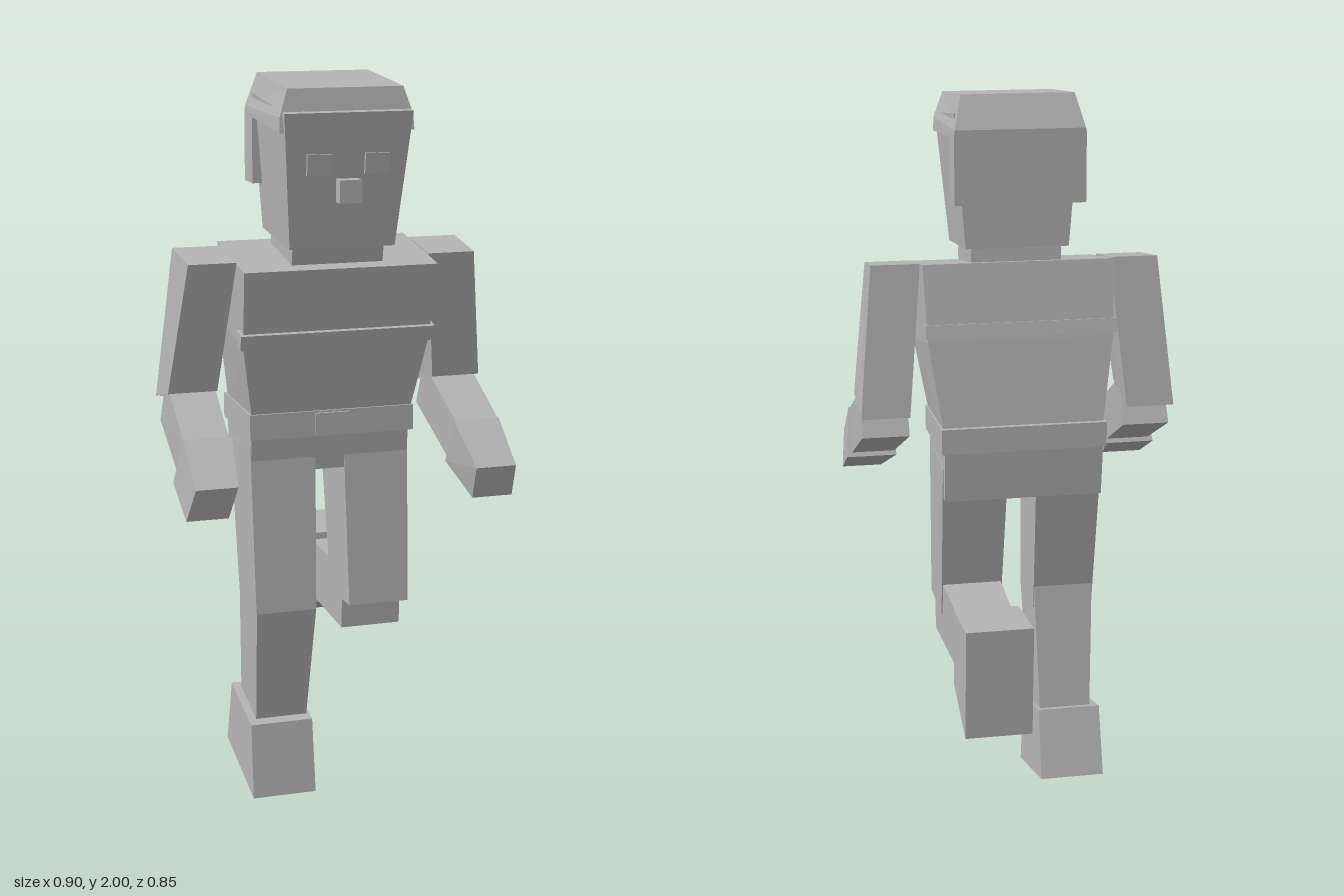
import * as THREE from 'three';

const grey = new THREE.MeshStandardMaterial({ color: 0xb4b4b4 });
grey.name = 'plain grey';

// Block whose side outline is given as [z, y, xMin, xMax], counter-clockwise from the +x side
// (front top, front bottom, back bottom, back top)
function block(name, outline) {
  const pos = [];
  const lo = outline.map(([z, y, a]) => [a, y, z]);
  const hi = outline.map(([z, y, , b]) => [b, y, z]);
  const tri = (a, b, c) => pos.push(...a, ...b, ...c);
  outline.forEach((_, i) => {
    const j = (i + 1) % outline.length;
    tri(hi[i], lo[i], lo[j]);
    tri(hi[i], lo[j], hi[j]);
    if (i > 0 && j > 0) {
      tri(hi[0], hi[i], hi[j]);
      tri(lo[0], lo[j], lo[i]);
    }
  });
  const geo = new THREE.BufferGeometry();
  geo.setAttribute('position', new THREE.Float32BufferAttribute(pos, 3));
  geo.computeVertexNormals();
  const mesh = new THREE.Mesh(geo, grey);
  mesh.name = name;
  return mesh;
}

// Block symmetric about x = 0: [z, y, halfWidth]
const centred = (name, outline) => block(name, outline.map(([z, y, w]) => [z, y, -w, w]));

// Upright box from its limits
const box = (name, x0, x1, y0, y1, z0, z1) =>
  block(name, [[z1, y1, x0, x1], [z1, y0, x0, x1], [z0, y0, x0, x1], [z0, y1, x0, x1]]);

// Limb block on one side: [z, y, inner, outer], mirrored for side = -1
const limb = (name, side, outline) => block(name, outline.map(([z, y, inner, outer]) =>
  side > 0 ? [z, y, inner, outer] : [z, y, -outer, -inner]));

function makeHead() {
  const g = new THREE.Group();
  g.name = 'head';
  g.add(
    centred('skull', [[0.325, 1.92, 0.172], [0.267, 1.565, 0.143], [0, 1.585, 0.143], [0, 1.95, 0.172]]),
    centred('hairTop', [[0.29, 1.98, 0.155], [0.303, 1.91, 0.178], [-0.045, 1.91, 0.178], [-0.005, 2, 0.155]]),
    centred('hairRim', [[0.303, 1.91, 0.178], [0.308, 1.87, 0.18], [-0.045, 1.89, 0.18], [-0.045, 1.91, 0.178]]),
    box('hairBack', -0.18, 0.18, 1.71, 1.9, -0.045, 0.035),
    box('nose', -0.03, 0.03, 1.69, 1.75, 0.305, 0.34),
  );
  for (const s of [-1, 1]) {
    g.add(limb('eye', s, [[0.322, 1.815, 0.045, 0.11], [0.316, 1.76, 0.045, 0.11],
      [0.307, 1.76, 0.045, 0.11], [0.313, 1.815, 0.045, 0.11]]));
  }
  return g;
}

function makeBody() {
  const g = new THREE.Group();
  g.name = 'body';
  g.add(
    centred('neck', [[0.235, 1.58, 0.125], [0.22, 1.51, 0.125], [0.015, 1.53, 0.125], [0.02, 1.6, 0.125]]),
    centred('chest', [[0.267, 1.51, 0.265], [0.222, 1.3, 0.257], [-0.055, 1.34, 0.257], [-0.02, 1.55, 0.265]]),
    centred('waist', [[0.222, 1.3, 0.257], [0.17, 1.08, 0.22], [-0.092, 1.08, 0.22], [-0.055, 1.34, 0.257]]),
    centred('frontStrap', [[0.242, 1.338, 0.268], [0.233, 1.298, 0.268], [0.195, 1.305, 0.268], [0.2, 1.348, 0.268]]),
    centred('backStrap', [[-0.02, 1.385, 0.265], [-0.03, 1.348, 0.265], [-0.07, 1.355, 0.265], [-0.062, 1.392, 0.265]]),
    box('belt', -0.23, 0.23, 1.04, 1.11, -0.105, 0.183),
    box('buckle', -0.05, 0.05, 1.045, 1.105, 0.18, 0.19),
    centred('hips', [[0.165, 1.05, 0.222], [0.155, 0.94, 0.22], [-0.085, 0.9, 0.22], [-0.098, 1.05, 0.222]]),
  );
  return g;
}

function makeArm(s) {
  const g = new THREE.Group();
  g.name = s > 0 ? 'leftArm' : 'rightArm';
  g.add(
    limb('upperArm', s, [[0.19, 1.525, 0.265, 0.395], [0.125, 1.17, 0.305, 0.44],
      [-0.03, 1.13, 0.305, 0.44], [0.025, 1.545, 0.265, 0.4]]),
    limb('forearm', s, [[0.29, 1.08, 0.315, 0.437], [0.235, 0.965, 0.315, 0.437],
      [0, 1.07, 0.303, 0.435], [0.055, 1.195, 0.303, 0.43]]),
    limb('hand', s, [[0.425, 0.985, 0.325, 0.437], [0.367, 0.887, 0.337, 0.45],
      [0.225, 0.955, 0.31, 0.452], [0.293, 1.085, 0.308, 0.437]]),
  );
  return g;
}

const thigh = (s) => limb('thigh', s, [[0.155, 1.02, 0.04, 0.223], [0.19, 0.55, 0.048, 0.218],
  [0.01, 0.54, 0.048, 0.218], [-0.07, 0.99, 0.04, 0.223]]);

function makeLegs() {
  // Standing leg
  const right = new THREE.Group();
  right.name = 'rightLeg';
  right.add(
    thigh(-1),
    limb('shin', -1, [[0.19, 0.55, 0.048, 0.217], [0.12, 0.21, 0.057, 0.203],
      [-0.045, 0.245, 0.057, 0.203], [0, 0.62, 0.048, 0.217]]),
    limb('foot', -1, [[0.15, 0.21, 0.048, 0.225], [0.175, 0, 0.045, 0.226],
      [-0.125, 0.065, 0.045, 0.226], [-0.07, 0.255, 0.048, 0.225]]),
  );
  // Leg kicked back
  const left = new THREE.Group();
  left.name = 'leftLeg';
  left.add(
    thigh(1),
    limb('shin', 1, [[0.12, 0.545, 0.048, 0.218], [0.115, 0.46, 0.048, 0.218], [-0.225, 0.452, 0.057, 0.21],
      [-0.23, 0.615, 0.057, 0.21], [0, 0.632, 0.05, 0.216]]),
    limb('foot', 1, [[-0.225, 0.635, 0.043, 0.223], [-0.22, 0.42, 0.043, 0.223],
      [-0.407, 0.335, 0.041, 0.224], [-0.425, 0.643, 0.041, 0.224]]),
  );
  return [right, left];
}

export function createModel() {
  const model = new THREE.Group();
  model.name = 'figure';
  model.add(makeHead(), makeBody(), makeArm(-1), makeArm(1), ...makeLegs());
  return model;
}
